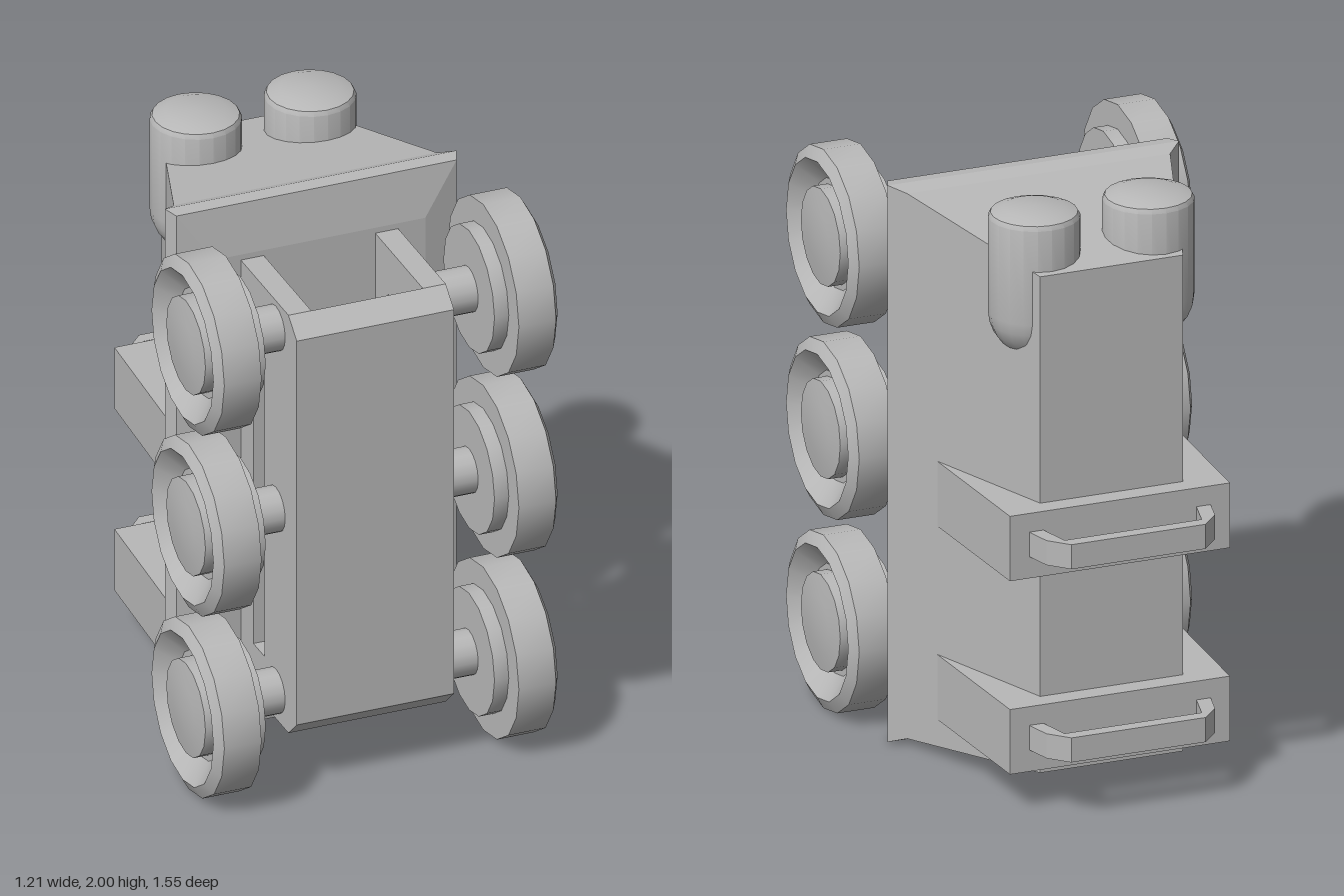
import * as THREE from 'three';
import { toCreasedNormals } from 'three/addons/utils/BufferGeometryUtils.js';

const grey = new THREE.MeshStandardMaterial({ color: 0xb8b8b8 });
grey.name = 'grey';

// Rectangular sections [z, halfWidth, yLow, yHigh], back to front, joined and capped
function loft(sections) {
  const rings = sections.map(([z, w, lo, hi]) => [[-w, lo, z], [w, lo, z], [w, hi, z], [-w, hi, z]]);
  const p = [];
  const quad = (a, b, c, d) => p.push(...a, ...b, ...c, ...a, ...c, ...d);
  for (let k = 0; k < rings.length - 1; k++) {
    const a = rings[k], b = rings[k + 1];
    for (let i = 0; i < 4; i++) {
      const j = (i + 1) % 4;
      quad(a[i], a[j], b[j], b[i]);
    }
  }
  const back = rings[0], front = rings[rings.length - 1];
  quad(front[0], front[1], front[2], front[3]);
  quad(back[3], back[2], back[1], back[0]);
  const g = new THREE.BufferGeometry();
  g.setAttribute('position', new THREE.Float32BufferAttribute(p, 3));
  g.computeVertexNormals();
  return g;
}

const turned = (profile, sides) => toCreasedNormals(
  new THREE.LatheGeometry(profile.map(([r, y]) => new THREE.Vector2(r, y)), sides), 0.5);

const polygon = pts => pts.map(([x, y]) => new THREE.Vector2(x, y));

export function createModel() {
  const model = new THREE.Group();
  model.name = 'model';
  const add = (name, geometry, x = 0, y = 0, z = 0) => {
    const m = new THREE.Mesh(geometry, grey);
    m.name = name;
    m.position.set(x, y, z);
    model.add(m);
    return m;
  };

  // Tapered body with a flared rim and a bevelled front face
  add('body', loft([
    [-0.55, 0.25, 0.10, 1.82],
    [0.06, 0.46, 0.03, 1.92],
    [0.105, 0.51, 0.01, 1.94],
    [0.155, 0.49, 0.015, 1.935],
    [0.18, 0.37, 0.2, 1.76],
  ]));

  // Two round-bottomed tubes sunk into the top of the body
  const tubeProfile = [];
  for (let i = 0; i <= 6; i++) {
    const a = i / 6 * Math.PI / 2;
    tubeProfile.push([0.15 * Math.sin(a), 1.64 - 0.15 * Math.cos(a)]);
  }
  tubeProfile.push([0.15, 1.965], [0.142, 1.98], [0.1, 1.995], [0, 2]);
  const tube = turned(tubeProfile, 20);

  // Rear straps, each carrying a bent handle
  const strap = loft([[-0.62, 0.385, 0, 0.225], [-0.08, 0.413, 0, 0.225]]);
  const handle = new THREE.ExtrudeGeometry(new THREE.Shape(polygon([
    [0.32, -0.61], [0.295, -0.71], [0.235, -0.775], [-0.235, -0.775], [-0.295, -0.71], [-0.32, -0.61],
    [-0.27, -0.61], [-0.24, -0.73], [0.24, -0.73], [0.27, -0.61],
  ])), { depth: 0.085, bevelEnabled: false });
  handle.rotateX(Math.PI / 2);
  for (const y of [0.14, 0.81]) {
    add('strap', strap, 0, y);
    add('handle', handle, 0, y + 0.16);
  }

  // Front panel with chamfered ends
  add('frontPanel', loft([[0.58, 0.275, 0.2, 1.74], [0.65, 0.275, 0.265, 1.68]]));

  // Slotted side walls joining the panel to the body
  const wallShape = new THREE.Shape(polygon([[0.17, 0.2], [0.58, 0.2], [0.58, 1.74], [0.17, 1.74]]));
  wallShape.holes.push(new THREE.Path(polygon([[0.285, 0.38], [0.285, 1.57], [0.38, 1.57], [0.38, 0.38]])));
  const wall = new THREE.ExtrudeGeometry(wallShape, { depth: 0.08, bevelEnabled: false });
  wall.rotateY(-Math.PI / 2);

  // Wheel with inner drum, dished outer face and domed hub, plus its axle
  const wheel = turned([
    [0, 0.4], [0.215, 0.4], [0.215, 0.45], [0.3, 0.45], [0.3, 0.58], [0.26, 0.602],
    [0.185, 0.54], [0.165, 0.54], [0.165, 0.59], [0.09, 0.6], [0, 0.605],
  ], 16);
  const axle = new THREE.CylinderGeometry(0.078, 0.078, 0.22, 16);

  for (const side of [-1, 1]) {
    add('tube', tube, side * 0.2, 0, -0.38);
    add('sideWall', wall, side > 0 ? 0.275 : -0.195);
    for (const y of [0.305, 0.975, 1.642]) {
      add('wheel', wheel, 0, y, 0.475).rotation.z = -side * Math.PI / 2;
      add('axle', axle, side * 0.31, y, 0.475).rotation.z = -side * Math.PI / 2;
    }
  }
  return model;
}
